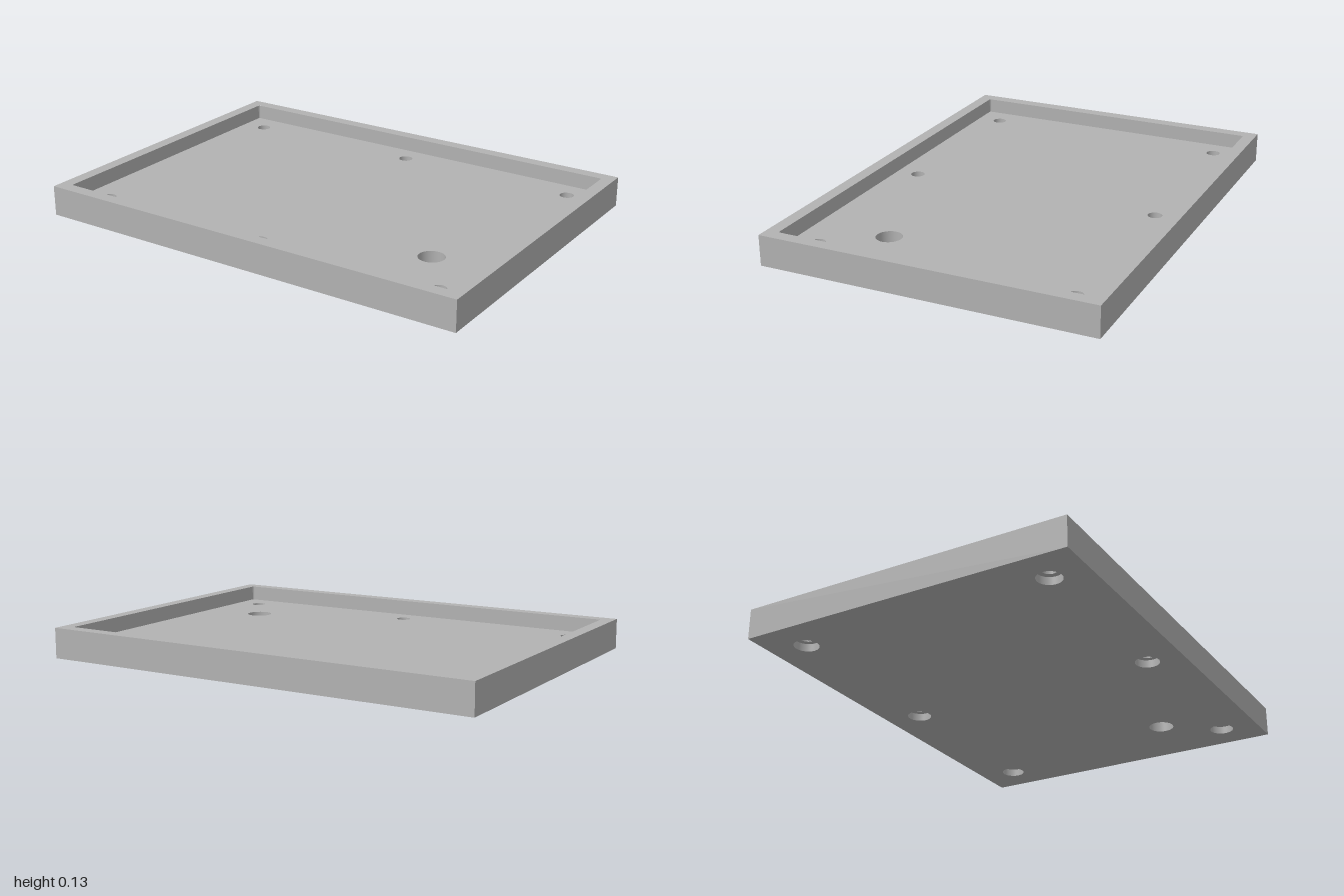
import * as THREE from 'three';

const W = 1, D = 0.733, H = 0.134;      // outer half width, half depth, full height
const IW = 0.944, ID = 0.677;           // inner half sizes of the recess
const FLOOR = 0.067, LEDGE = 0.034;     // recess floor and counterbore ledge heights
const SCREW = 0.031, BORE = 0.053, PORT = 0.056;
const ARC = 24;

// Screw holes: four corners plus the middle of each long side
const screws = [];
for (const s of [-1, 1]) screws.push([-0.833, s * 0.567], [0, s * 0.575], [0.833, s * 0.567]);
const port = [0.666, 0.333];

// Rectangle in the x-z plane with softened corners
function rectangle(w, d, r = 0) {
  const s = new THREE.Shape();
  if (!r) {
    s.moveTo(-w, -d).lineTo(w, -d).lineTo(w, d).lineTo(-w, d).lineTo(-w, -d);
    return s;
  }
  s.moveTo(-w + r, -d).lineTo(w - r, -d).quadraticCurveTo(w, -d, w, -d + r);
  s.lineTo(w, d - r).quadraticCurveTo(w, d, w - r, d);
  s.lineTo(-w + r, d).quadraticCurveTo(-w, d, -w, d - r);
  s.lineTo(-w, -d + r).quadraticCurveTo(-w, -d, -w + r, -d);
  return s;
}

function circle([x, z], r) {
  const s = new THREE.Shape();
  s.absarc(x, z, r, 0, Math.PI * 2, false);
  return s;
}

function flip(geo) {
  const i = geo.index.array;
  for (let k = 0; k < i.length; k += 3) [i[k], i[k + 1]] = [i[k + 1], i[k]];
  const n = geo.attributes.normal.array;
  for (let k = 0; k < n.length; k++) n[k] = -n[k];
  return geo;
}

// Horizontal face with holes, looking up or down
function face(shape, holes, y, up) {
  shape.holes.push(...holes);
  const geo = new THREE.ShapeGeometry(shape, ARC).rotateX(Math.PI / 2).translate(0, y, 0);
  return up ? flip(geo) : geo;
}

// Vertical band following an outline
function band(shape, y0, y1, inward) {
  const pts = shape.getPoints(4);
  if (inward) pts.reverse();
  const v = [];
  for (let i = 0; i < pts.length - 1; i++) {
    const p = pts[i], q = pts[i + 1];
    v.push(p.x, y0, p.y, p.x, y1, p.y, q.x, y1, q.y);
    v.push(p.x, y0, p.y, q.x, y1, q.y, q.x, y0, q.y);
  }
  const geo = new THREE.BufferGeometry();
  geo.setAttribute('position', new THREE.Float32BufferAttribute(v, 3));
  geo.computeVertexNormals();
  return geo;
}

// Inside wall of a round hole
function bore([x, z], r, y0, y1) {
  const geo = new THREE.CylinderGeometry(r, r, y1 - y0, ARC * 2, 1, true);
  return flip(geo.translate(x, (y0 + y1) / 2, z));
}

export function createModel() {
  const grey = new THREE.MeshStandardMaterial({ color: 0xb2b2b2 });
  grey.name = 'grey';
  const model = new THREE.Group();
  model.name = 'tray';
  const add = (name, geo, parent = model) => {
    const mesh = new THREE.Mesh(geo, grey);
    mesh.name = name;
    parent.add(mesh);
  };

  // Tray shell
  add('outerWalls', band(rectangle(W, D), 0, H, false));
  add('rim', face(rectangle(W, D), [rectangle(IW, ID, 0.01)], H, true));
  add('innerWalls', band(rectangle(IW, ID, 0.01), FLOOR, H, true));
  add('floor', face(rectangle(IW, ID, 0.01),
    [...screws.map(p => circle(p, SCREW)), circle(port, PORT)], FLOOR, true));
  add('underside', face(rectangle(W, D),
    [...screws.map(p => circle(p, BORE)), circle(port, PORT)], 0, false));

  // Large through hole
  add('cableHole', bore(port, PORT, 0, FLOOR));

  // Screw holes, counterbored from below
  for (const p of screws) {
    const hole = new THREE.Group();
    hole.name = 'screwHole';
    add('shaft', bore(p, SCREW, LEDGE, FLOOR), hole);
    add('ledge', face(circle(p, BORE), [circle(p, SCREW)], LEDGE, false), hole);
    add('counterbore', bore(p, BORE, 0, LEDGE), hole);
    model.add(hole);
  }
  return model;
}
